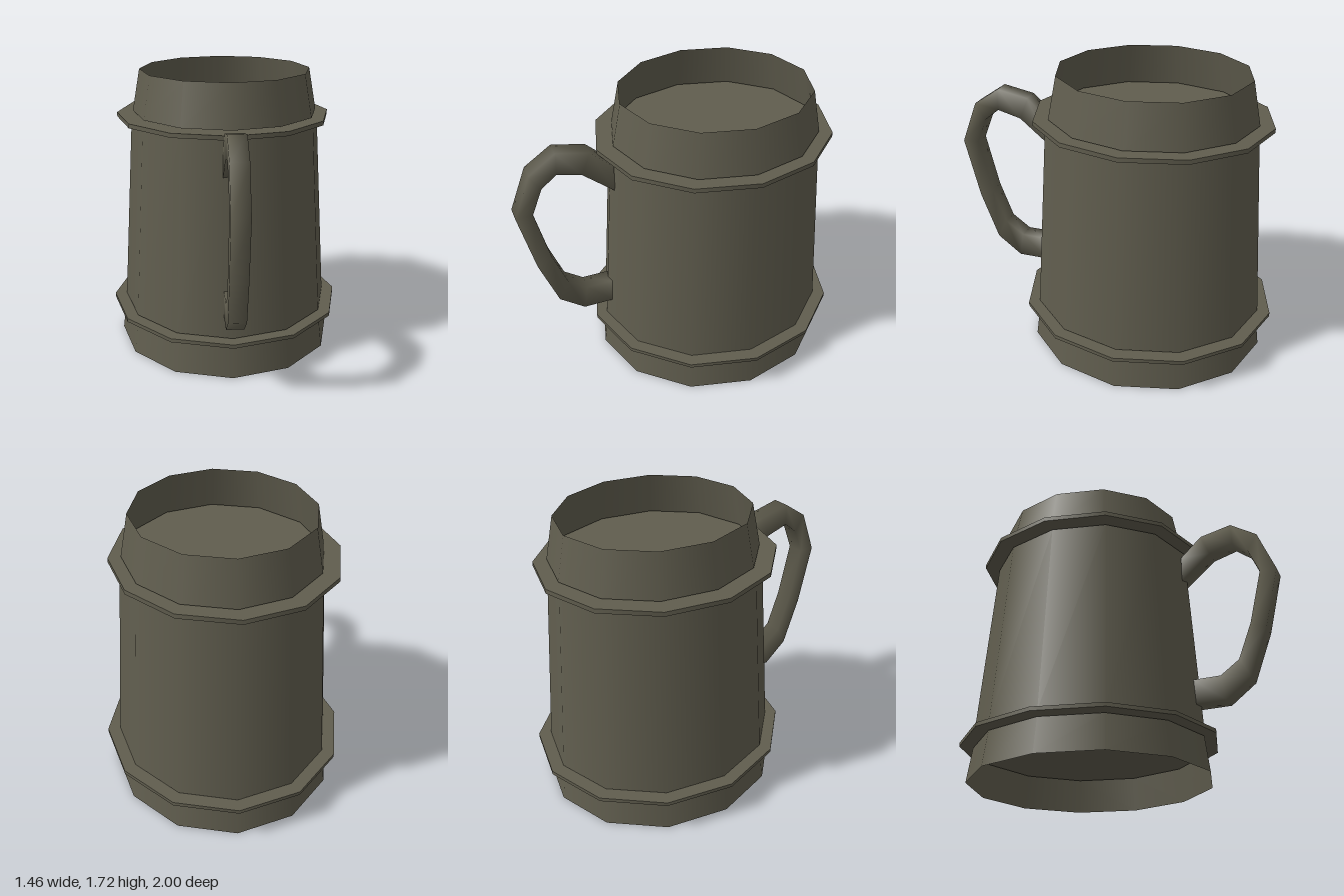
import * as THREE from 'three';

export function createModel() {
  const group = new THREE.Group();
  const pewter = new THREE.MeshStandardMaterial({ color: 0x605d4e, side: THREE.DoubleSide });
  pewter.name = 'pewter';

  // Twelve-sided tapered section between two heights, slightly deeper than wide
  function section(name, y0, y1, r0, r1, { open = true, x = 0, z = -0.21, stretch = 1.085 } = {}) {
    const geo = new THREE.CylinderGeometry(r1, r0, y1 - y0, 12, 1, open);
    geo.scale(1, 1, stretch);
    const mesh = new THREE.Mesh(geo, pewter);
    mesh.name = name;
    mesh.position.set(x, (y0 + y1) / 2, z);
    group.add(mesh);
  }

  // Open shells; the discs between them form the floor and the drink level
  section('base', 0, 0.209, 0.682, 0.656, { stretch: 1.078 });
  section('lowerBand', 0.218, 0.241, 0.728, 0.728, { open: false, z: -0.216, stretch: 1.077 });
  section('body', 0.247, 1.421, 0.653, 0.578, { z: -0.212, stretch: 1.09 });
  section('upperBand', 1.43, 1.456, 0.654, 0.654, { open: false, x: -0.012, z: -0.217 });
  section('rim', 1.465, 1.72, 0.569, 0.522, { z: -0.222, stretch: 1.09 });

  // Handle: outer [z, y] and inner [z, y] edge at each bend
  const bends = [
    [0.415, 1.365, 0.415, 1.2],
    [0.547, 1.485, 0.6, 1.352],
    [0.74, 1.522, 0.745, 1.39],
    [0.898, 1.415, 0.836, 1.315],
    [1.0, 1.155, 0.9, 1.158],
    [0.912, 0.787, 0.822, 0.832],
    [0.804, 0.498, 0.74, 0.617],
    [0.654, 0.384, 0.627, 0.536],
    [0.465, 0.384, 0.465, 0.536],
  ];
  const positions = [];
  const index = [];
  bends.forEach(([zo, yo, zi, yi], i) => {
    positions.push(0.052, yo, zo, -0.052, yo, zo, -0.052, yi, zi, 0.052, yi, zi);
    if (i === bends.length - 1) return;
    for (let j = 0; j < 4; j++) {
      const a = i * 4 + j, b = i * 4 + (j + 1) % 4;
      index.push(a, b, b + 4, a, b + 4, a + 4);
    }
  });
  const handleGeo = new THREE.BufferGeometry();
  handleGeo.setAttribute('position', new THREE.Float32BufferAttribute(positions, 3));
  handleGeo.setIndex(index);
  handleGeo.computeVertexNormals();
  const handle = new THREE.Mesh(handleGeo, pewter);
  handle.name = 'handle';
  group.add(handle);

  return group;
}
